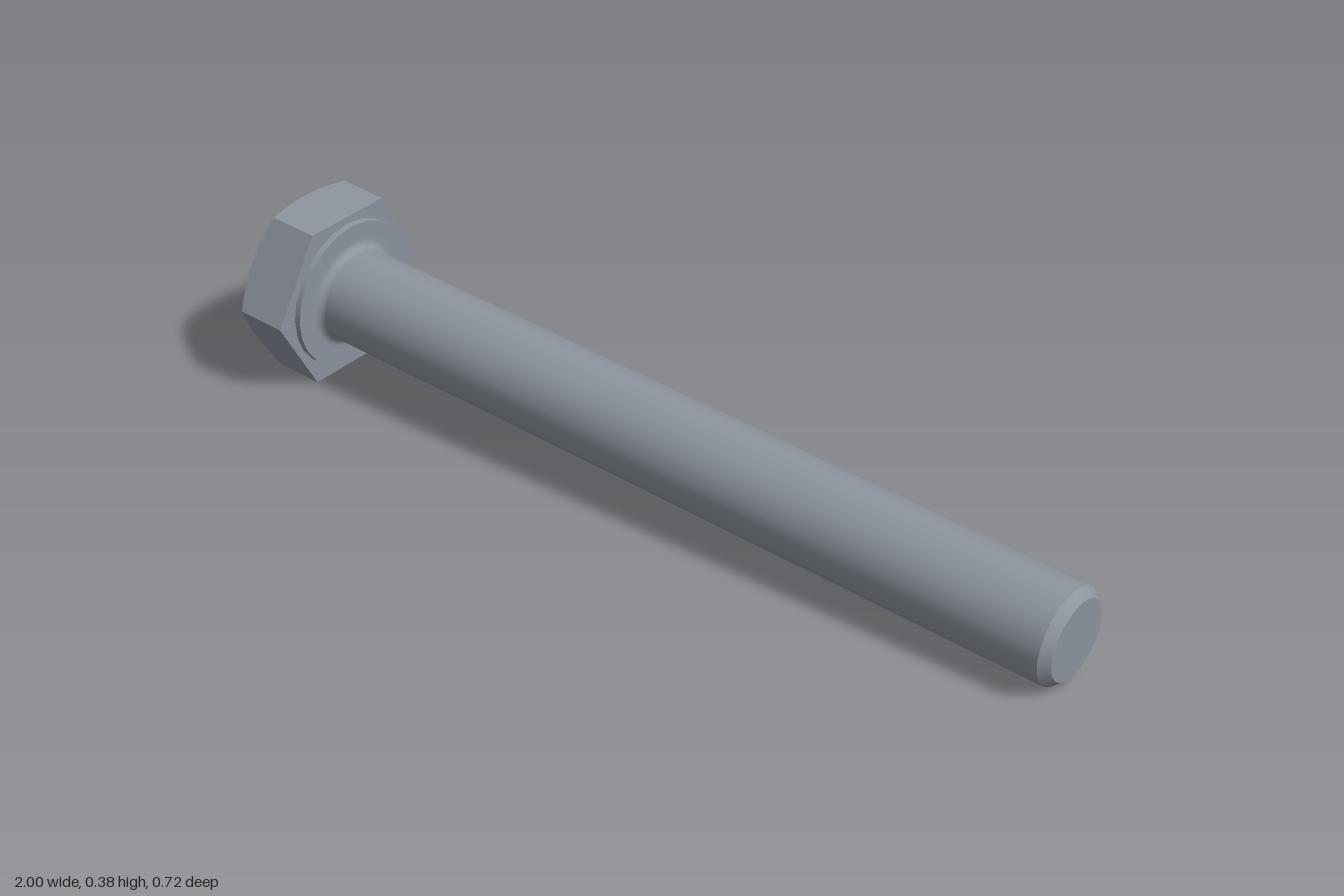
import * as THREE from 'three';

const SEG = 24;        // sides of the round parts
const STEPS = 8;       // steps along each hexagon side
const FLAT = 0.185;    // centre to flat
const HEAD = 0.135;    // hexagon height
const CROWN = 0.175;   // radius where the crown chamfer starts

export function createModel() {
  const steel = new THREE.MeshStandardMaterial({ color: 0x8d949e });
  steel.name = 'steel';
  const bolt = new THREE.Group();
  bolt.name = 'bolt';

  const add = (name, geometry) => {
    const mesh = new THREE.Mesh(geometry, steel);
    mesh.name = name;
    bolt.add(mesh);
  };
  // Each profile is smooth within itself and sharp against its neighbours
  const turn = (name, profile) =>
    add(name, new THREE.LatheGeometry(profile.map(p => new THREE.Vector2(...p)), SEG));

  // Outline of the hexagon: [x, z, radius]
  const outline = [];
  for (let side = 0; side < 6; side++) {
    for (let i = 0; i < STEPS; i++) {
      const local = (i / STEPS - 0.5) * Math.PI / 3;
      const angle = side * Math.PI / 3 + local;
      const r = FLAT / Math.cos(local);
      outline.push([Math.cos(angle) * r, Math.sin(angle) * r, r]);
    }
  }
  const n = outline.length;
  const depth = r => -HEAD + Math.max(0, r - CROWN) * Math.tan(Math.PI / 6);

  // Crown: flat disc running smoothly into the conical chamfer
  const crown = [0, -HEAD, 0], crownIndex = [];
  outline.forEach(([x, z, r], i) => {
    crown.push(x * CROWN / r, -HEAD, z * CROWN / r, x, depth(r), z);
    const a = 1 + 2 * i, b = 1 + 2 * ((i + 1) % n);
    crownIndex.push(0, a, b, a, a + 1, b + 1, a, b + 1, b);
  });
  const crownGeometry = new THREE.BufferGeometry();
  crownGeometry.setAttribute('position', new THREE.Float32BufferAttribute(crown, 3));
  crownGeometry.setIndex(crownIndex);
  crownGeometry.computeVertexNormals();
  add('headCrown', crownGeometry);

  // Six flat sides with arched upper edges, and the underside
  const sides = [];
  outline.forEach(([x1, z1, r1], i) => {
    const [x2, z2, r2] = outline[(i + 1) % n];
    const a1 = [x1, 0, z1], a2 = [x2, 0, z2];
    const b1 = [x1, depth(r1), z1], b2 = [x2, depth(r2), z2];
    sides.push(...b1, ...a1, ...a2, ...b1, ...a2, ...b2, 0, 0, 0, ...a2, ...a1);
  });
  const sideGeometry = new THREE.BufferGeometry();
  sideGeometry.setAttribute('position', new THREE.Float32BufferAttribute(sides, 3));
  sideGeometry.computeVertexNormals();
  add('headSides', sideGeometry);

  // Washer face, then the shank with its root fillet
  const R = 0.105, L = 1.852, W = 0.013, F = 0.018, C = 0.02;
  turn('washerRim', [[0.168, 0], [0.167, W]]);
  const shank = [[0.167, W], [R + F + 0.01, W]];
  for (let i = 0; i <= 5; i++) {
    const t = i / 5 * Math.PI / 2;
    shank.push([R + F - F * Math.sin(t), W + F - F * Math.cos(t)]);
  }
  shank.push([R, L - C]);
  turn('shank', shank);
  turn('tipChamfer', [[R, L - C], [R - 0.018, L]]);
  turn('tipFace', [[R - 0.018, L], [0, L]]);

  // Lay the bolt down: tip on the ground, one hexagon flat upward
  const base = new THREE.Vector3(-0.83, 0.186, -0.127);
  const axis = new THREE.Vector3(0.978, 0.105, 0.261).sub(base).normalize();
  const up = new THREE.Vector3(0, 1, 0).addScaledVector(axis, -axis.y).normalize();
  const across = new THREE.Vector3().crossVectors(up, axis);
  bolt.quaternion.setFromRotationMatrix(new THREE.Matrix4().makeBasis(up, axis, across));
  bolt.position.copy(base);

  const model = new THREE.Group();
  model.name = 'hexBolt';
  model.add(bolt);
  return model;
}
